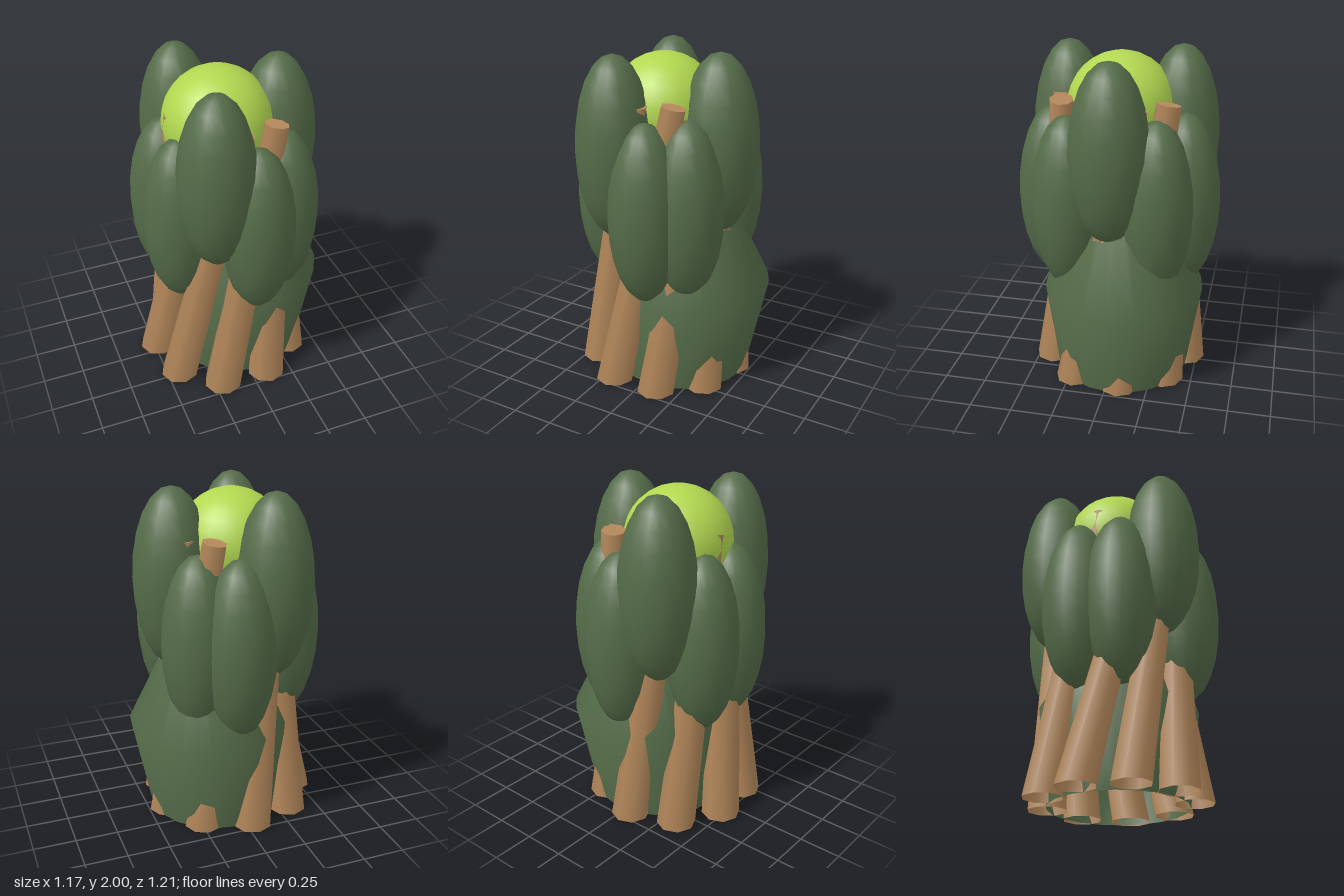
import * as THREE from 'three';

export function createModel() {
  const model = new THREE.Group();
  // Double-sided because the sheath and the stalks are open underneath
  const mat = (name, color) => {
    const m = new THREE.MeshStandardMaterial({ color, side: THREE.DoubleSide });
    m.name = name;
    return m;
  };
  const leafGreen = mat('leaf green', 0x556c49);
  const lime = mat('lime', 0xb2d750);
  const bark = mat('bark brown', 0xb4885b);

  const add = (name, geometry, material, parent = model) => {
    const mesh = new THREE.Mesh(geometry, material);
    mesh.name = name;
    parent.add(mesh);
    return mesh;
  };

  // Stalk: hollow tapered tube cut flat at the ground, capped square to its lean
  const height = 1.735, rTop = 0.07, rBottom = 0.117, sides = 8;
  const stalk = (x0, z0, x1, z1) => {
    const dx = (x1 - x0) / height, dz = (z1 - z0) / height;
    const lean = (g) => {
      const p = g.attributes.position;
      for (let i = 0; i < p.count; i++) {
        const x = p.getX(i), y = p.getY(i), z = p.getZ(i);
        const tilt = y > 0 ? dx * x + dz * z : 0;
        p.setXYZ(i, x + x0 + dx * y, y - tilt, z + z0 + dz * y);
      }
      return g;
    };
    const tube = new THREE.CylinderGeometry(rTop, rBottom, height, sides, 1, true);
    tube.translate(0, height / 2, 0);
    const cap = new THREE.CircleGeometry(rTop, sides);
    cap.rotateX(-Math.PI / 2).rotateY(Math.PI / 2).translate(0, height, 0);
    const group = new THREE.Group();
    group.name = 'stalk';
    add('stalkSide', lean(tube), bark, group);
    add('stalkTop', lean(cap), bark, group);
    model.add(group);
  };

  // Ring of nine stalks that twist as they rise; tops listed around the ring
  const tops = [
    [0.27, -0.14], [0.28, 0.1], [0.165, 0.3],
    [-0.055, 0.345], [-0.22, 0.27], [-0.31, 0],
    [-0.22, -0.28], [-0.08, -0.335], [0.15, -0.31],
  ];
  tops.forEach(([x, z], i) => {
    const a = THREE.MathUtils.degToRad(30 + 40 * i);
    stalk(-0.045 + 0.43 * Math.cos(a), 0.43 * Math.sin(a), x, z);
  });

  // Base sheath: open flared shell leaning to one side
  const sheath = new THREE.LatheGeometry(
    [[0.41, 0], [0.482, 0.58], [0.2, 1.16]].map(([r, y]) => new THREE.Vector2(r, y)), 20);
  const sp = sheath.attributes.position;
  for (let i = 0; i < sp.count; i++) {
    const t = Math.min(sp.getY(i) / 0.58, 1);
    sp.setX(i, sp.getX(i) + 0.05 + 0.05 * t);
    sp.setZ(i, sp.getZ(i) - 0.03 - 0.02 * t);
  }
  add('baseSheath', sheath, leafGreen);

  // Long oval leaves
  const oval = new THREE.SphereGeometry(1, 16, 12);
  const leaf = (name, x, y, z, r) => {
    const m = add(name, oval, leafGreen);
    m.position.set(x, y, z);
    m.scale.set(r, 0.535, r);
  };
  leaf('upperLeaf', 0.295, 1.465, 0, 0.234);
  for (const s of [1, -1]) {
    leaf('upperLeaf', -0.197, 1.465, s * 0.34, 0.225);
    leaf('lowerLeaf', 0.03, 1.12, s * 0.393, 0.214);
    leaf('lowerLeaf', 0.23, 1.13, s * 0.26, 0.214);
    leaf('lowerLeaf', -0.35, 1.12, s * 0.13, 0.214);
  }

  // Bright core at the crown
  add('core', new THREE.SphereGeometry(0.32, 24, 16), lime).position.set(-0.065, 1.65, 0);

  return model;
}
